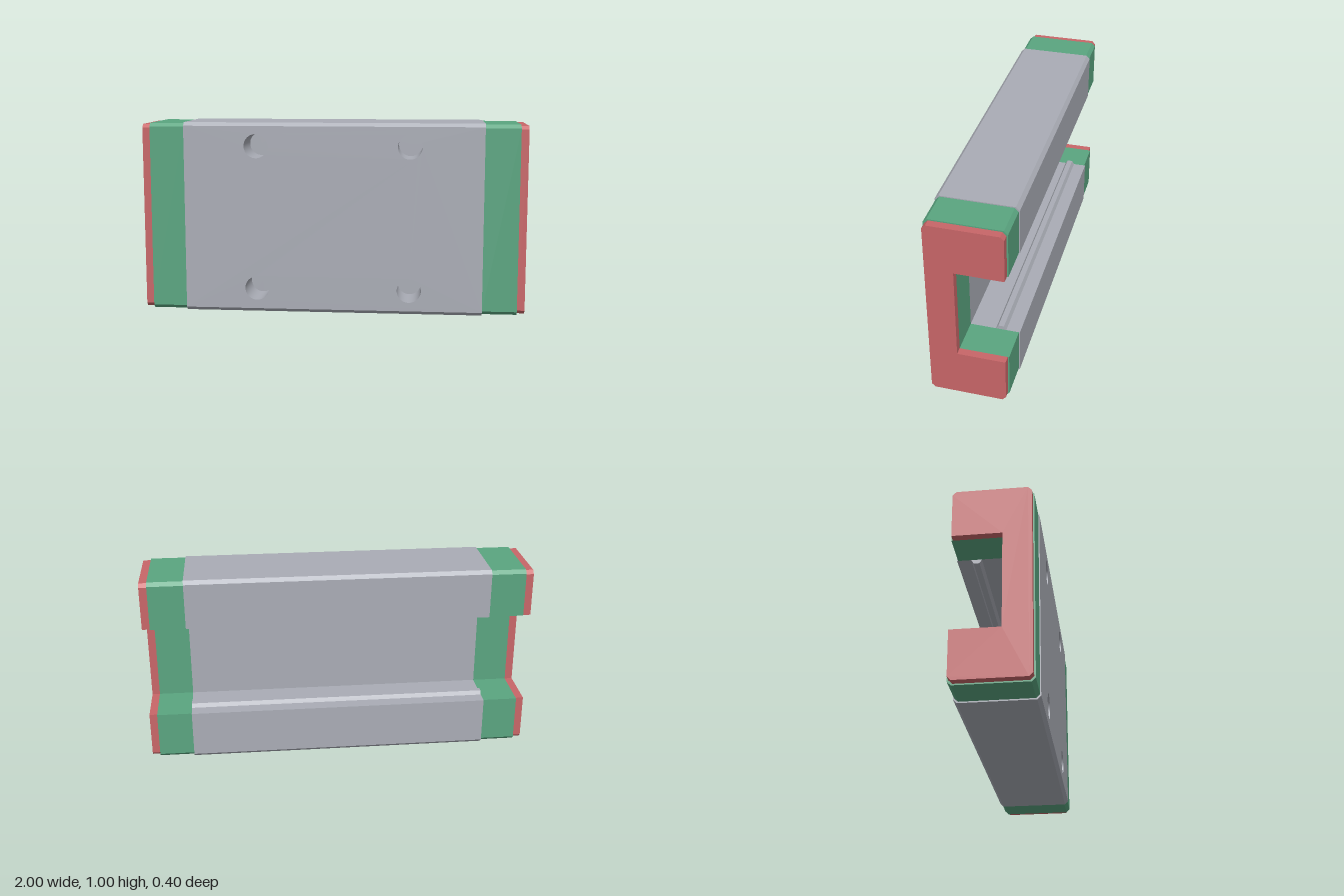
import * as THREE from 'three';

const paint = (name, color) => {
  const m = new THREE.MeshStandardMaterial({ color });
  m.name = name;
  return m;
};

// Extrude a list of [z, y] points along x, from x0 to x1
function prism(points, x0, x1) {
  const shape = new THREE.Shape(points.map(([z, y]) => new THREE.Vector2(-z, y)));
  const g = new THREE.ExtrudeGeometry(shape, { depth: x1 - x0, bevelEnabled: false });
  return g.rotateY(Math.PI / 2).translate(x0, 0, 0);
}

// C-shaped section, open to the back, with chamfered outer corners
function section(zMax, y0, y1, c) {
  const b = -zMax, inner = 0.05, lo = 0.26, hi = 0.746;
  return [
    [zMax, y0 + c], [zMax, y1 - c], [zMax - c, y1], [b + c, y1], [b, y1 - c],
    [b, hi], [inner, hi], [inner, lo], [b, lo], [b, y0 + c], [b + c, y0], [zMax - c, y0],
  ];
}

// Remove the triangles lying wholly on the plane z = value
function dropFace(g, value) {
  const src = g.attributes.position, nor = g.attributes.normal;
  const pos = [], nrm = [];
  for (let i = 0; i < src.count; i += 3) {
    const flat = [0, 1, 2].every(k => Math.abs(src.getZ(i + k) - value) < 1e-5);
    if (flat) continue;
    for (let k = i; k < i + 3; k++) {
      pos.push(src.getX(k), src.getY(k), src.getZ(k));
      nrm.push(nor.getX(k), nor.getY(k), nor.getZ(k));
    }
  }
  const out = new THREE.BufferGeometry();
  out.setAttribute('position', new THREE.Float32BufferAttribute(pos, 3));
  out.setAttribute('normal', new THREE.Float32BufferAttribute(nrm, 3));
  return out;
}

export function createModel() {
  const steel = paint('steel grey', 0xa9acb5);
  const green = paint('cap green', 0x5aa580);
  const red = paint('seal red', 0xc86668);
  const boreWall = paint('bore grey', 0xa9acb5);
  boreWall.side = THREE.BackSide;

  const model = new THREE.Group();
  model.name = 'linearCarriage';
  const add = (name, geometry, material, parent = model) => {
    const mesh = new THREE.Mesh(geometry, material);
    mesh.name = name;
    parent.add(mesh);
    return mesh;
  };

  // Steel block, its front face made separately to take the bores
  const half = 0.78, front = 0.2, c = 0.018;
  add('block', dropFace(prism(section(front, 0, 1, c), -half, half), front), steel);

  const face = new THREE.Shape([
    new THREE.Vector2(-half, c), new THREE.Vector2(half, c),
    new THREE.Vector2(half, 1 - c), new THREE.Vector2(-half, 1 - c),
  ]);
  const radius = 0.063, depth = 0.2;
  for (const x of [-0.4, 0.4]) {
    for (const y of [0.127, 0.878]) {
      face.holes.push(new THREE.Path().absarc(x, y, radius, 0, Math.PI * 2, true));
      // Blind mounting bore
      const bore = new THREE.Group();
      bore.name = 'mountingBore';
      bore.position.set(x, y, front - depth);
      const wall = new THREE.CylinderGeometry(radius, radius, depth, 48, 1, true);
      add('boreWall', wall.rotateX(Math.PI / 2).translate(0, 0, depth / 2), boreWall, bore);
      add('boreFloor', new THREE.CircleGeometry(radius, 48), steel, bore);
      model.add(bore);
    }
  }
  add('frontFace', new THREE.ShapeGeometry(face, 24).translate(0, 0, front), steel);

  // Tapered retaining strips on the inner faces of the legs
  for (const [name, y, rise] of [['lowerStrip', 0.26, 0.02], ['upperStrip', 0.746, -0.02]]) {
    const profile = [[-0.079, y], [-0.131, y], [-0.119, y + rise], [-0.091, y + rise]];
    add(name, prism(profile, -half, half), steel);
  }

  // End caps and outer seals on both ends
  for (const [side, s] of [['left', 1], ['right', -1]]) {
    const span = (a, b) => (s > 0 ? [a, b] : [-b, -a]);
    add(side + 'EndCap', prism(section(0.195, 0.007, 0.995, 0.018), ...span(half, 0.96)), green);
    add(side + 'EndSeal', prism(section(0.188, 0.014, 0.989, 0.018), ...span(0.96, 1)), red);
  }
  return model;
}
